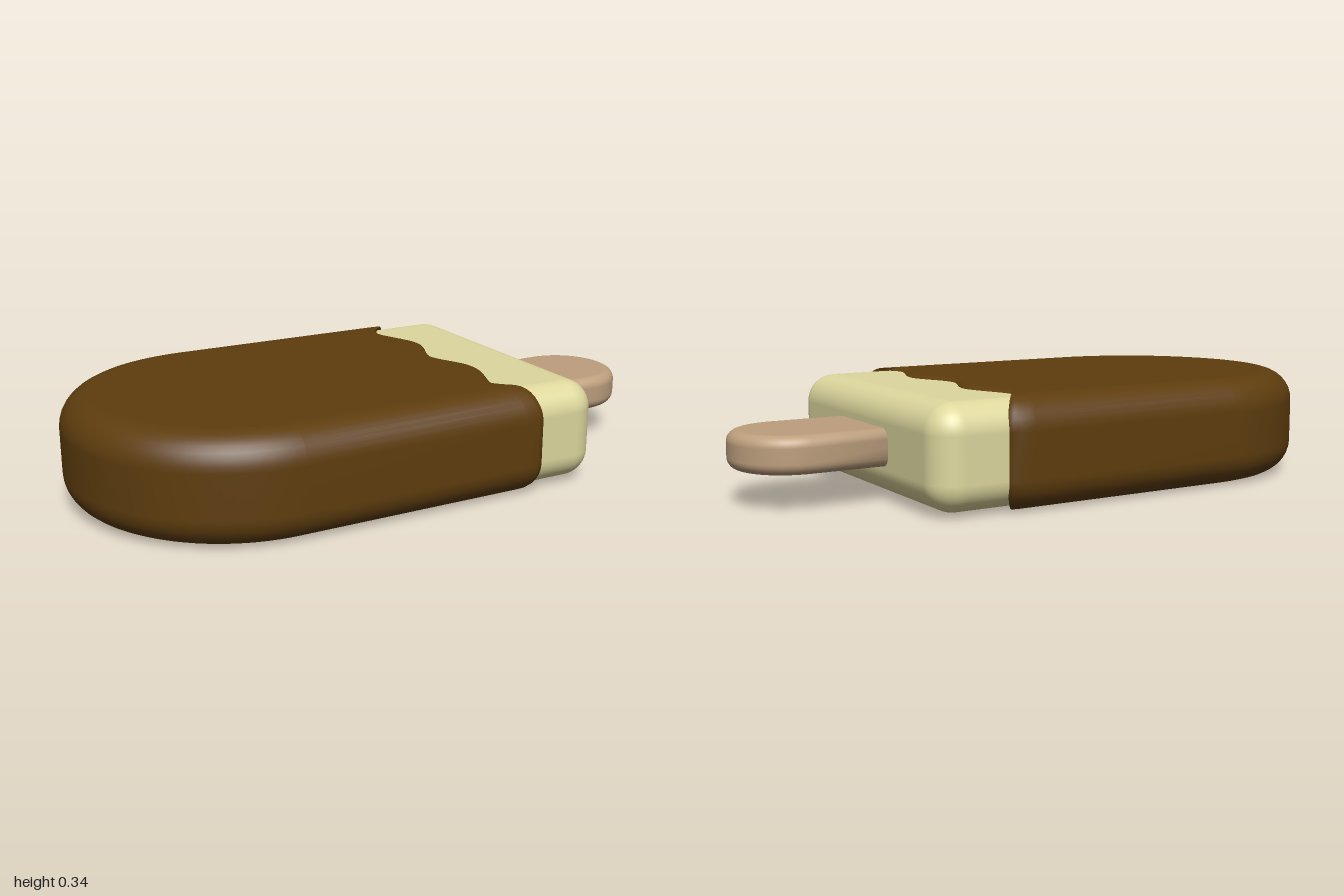
import * as THREE from 'three';
import { RoundedBoxGeometry } from 'three/addons/geometries/RoundedBoxGeometry.js';

// Lying slab with rounded rims. Each outline entry is [x, w, innerX, innerW] (w = -z),
// counterclockwise: the widest contour and the matching flat-face contour.
function slab(outline, y0, y1, r, steps = 8) {
  const n = outline.length, pos = [], index = [];
  const rings = 2 * (steps + 1);
  for (let j = 0; j < rings; j++) {
    const top = j > steps;
    const t = (top ? j - steps - 1 : steps - j) / steps * Math.PI / 2;
    const y = top ? y1 - r + r * Math.sin(t) : y0 + r - r * Math.sin(t);
    const k = 1 - Math.cos(t);
    for (const [x, w, qx, qw] of outline) pos.push(x + (qx - x) * k, y, -(w + (qw - w) * k));
  }
  for (let j = 0; j < rings - 1; j++) {
    for (let i = 0; i < n; i++) {
      const a = j * n + i, b = j * n + (i + 1) % n;
      index.push(a, b, b + n, a, b + n, a + n);
    }
  }
  // Flat top and bottom faces
  const flat = outline.map(([, , x, w]) => new THREE.Vector2(x, w));
  const last = (rings - 1) * n;
  for (const [a, b, c] of THREE.ShapeUtils.triangulateShape(flat, [])) {
    const turn = flat[b].clone().sub(flat[a]).cross(flat[c].clone().sub(flat[a]));
    const [u, v] = turn > 0 ? [b, c] : [c, b];
    index.push(last + a, last + u, last + v, a, v, u);
  }
  const geo = new THREE.BufferGeometry();
  geo.setAttribute('position', new THREE.Float32BufferAttribute(pos, 3));
  geo.setIndex(index);
  geo.computeVertexNormals();
  return geo;
}

// Arc of outline entries around (cx, 0), from one angle to another
function arc(cx, radius, inset, from, to, steps) {
  const out = [];
  for (let i = 0; i <= steps; i++) {
    const a = from + (to - from) * i / steps, c = Math.cos(a), s = Math.sin(a);
    out.push([cx + radius * c, radius * s, cx + (radius - inset) * c, (radius - inset) * s]);
  }
  return out;
}

const mirrored = (points) => points.map(([x, w, qx, qw]) => [x, -w, qx, -qw]).reverse();

export function createModel() {
  const material = (name, color) => {
    const m = new THREE.MeshStandardMaterial({ color });
    m.name = name;
    return m;
  };
  const chocolate = material('chocolate', 0x5e3d0e);
  const cream = material('cream', 0xded89e);
  const wood = material('wood', 0xbd9f7d);

  const group = new THREE.Group();
  group.name = 'iceCreamBar';
  const add = (name, geo, mat) => {
    const mesh = new THREE.Mesh(geo, mat);
    mesh.name = name;
    group.add(mesh);
    return mesh;
  };

  // Wavy edge of the coating: position across the bar against its reach along x
  const wave = new THREE.SplineCurve([
    [-1, 0.325], [-0.8, 0.265], [-0.39, 0.32], [0, 0.265], [0.39, 0.32], [0.8, 0.265], [1, 0.325],
  ].map(([s, x]) => new THREE.Vector2(s, x)));
  const edge = wave.getPoints(60).map(({ x: s, y: x }) => [x + 0.03, 0.5 * s, x - 0.025, 0.43 * s]);
  const corner = [
    [0.347, 0.519, 0.29, 0.43], [0.325, 0.53, 0.28, 0.43], [0.28, 0.53, 0.25, 0.43],
  ];

  // Chocolate coating with a half-round far end
  const coat = [
    ...edge, ...corner,
    ...arc(-0.47, 0.53, 0.1, Math.PI / 2, Math.PI * 1.5, 48),
    ...mirrored(corner),
  ];
  add('chocolateCoating', slab(coat, 0, 0.34, 0.1), chocolate);

  // Ice cream showing past the coating
  add('iceCream', new RoundedBoxGeometry(0.68, 0.32, 1.01, 8, 0.09), cream)
    .position.set(0.24, 0.17, 0);

  // Wooden stick with a round end
  const stick = [
    ...arc(0.815, 0.185, 0.035, -Math.PI / 2, Math.PI / 2, 32),
    [0.4, 0.185, 0.4, 0.15], [0.4, -0.185, 0.4, -0.15],
  ];
  add('stick', slab(stick, 0.11, 0.226, 0.035), wood);

  return group;
}
